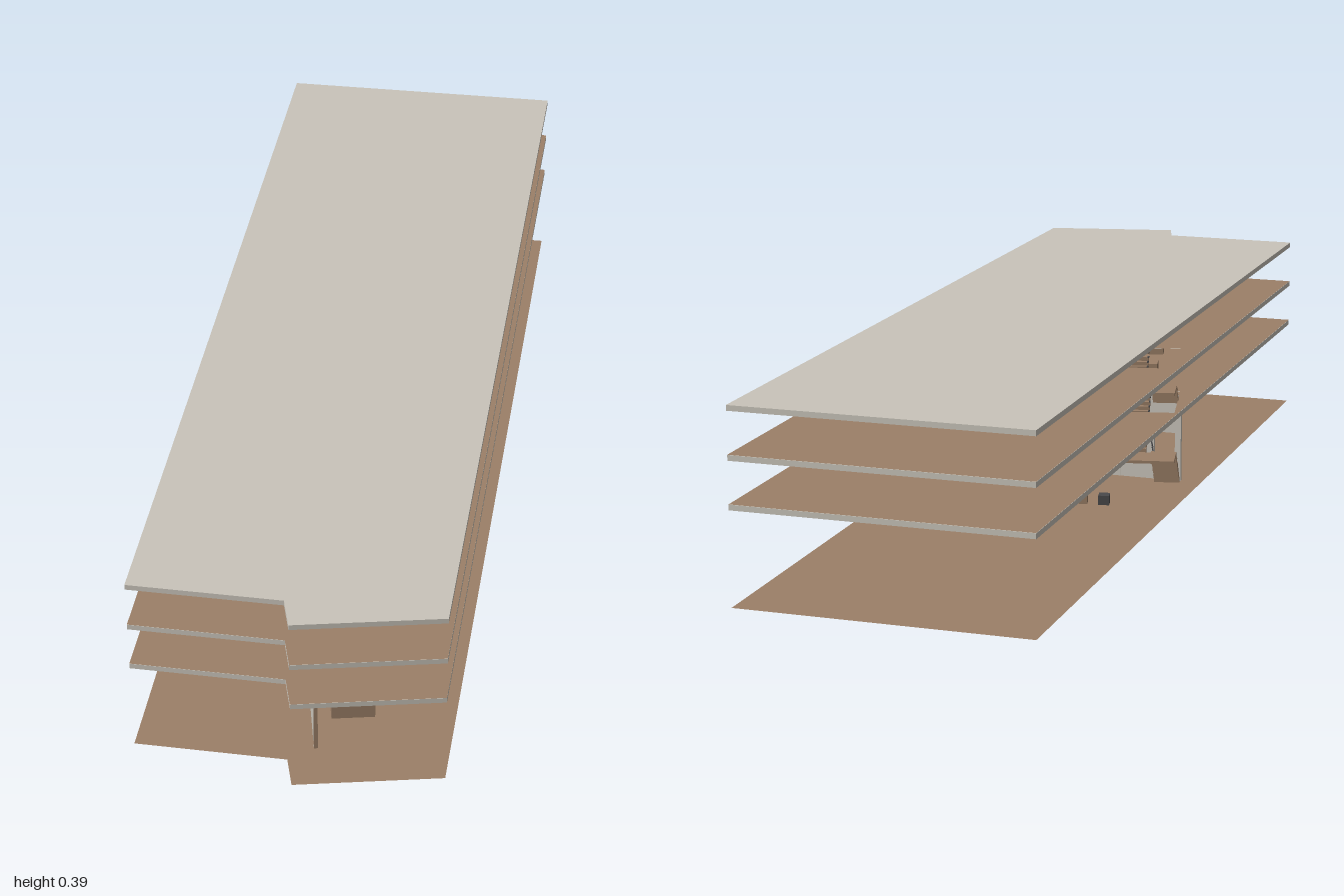
import * as THREE from 'three';

export function createModel() {
  const model = new THREE.Group();
  model.name = 'officeBuilding';
  const mat = (name, color, side = THREE.FrontSide) => {
    const m = new THREE.MeshStandardMaterial({ color, side });
    m.name = name;
    return m;
  };
  const concrete = mat('concrete', 0xc9c4ba);
  const wood = mat('wood', 0x9c8068, THREE.DoubleSide);
  const dark = mat('charcoal', 0x4a4a4c);

  const add = (name, geo, material, parent = model) => {
    const mesh = new THREE.Mesh(geo, material);
    mesh.name = name;
    parent.add(mesh);
    return mesh;
  };
  // box given by its limits on each axis
  const box = (name, material, [x0, x1], [y0, y1], [z0, z1], parent) => {
    const mesh = add(name, new THREE.BoxGeometry(x1 - x0, y1 - y0, z1 - z0), material, parent);
    mesh.position.set((x0 + x1) / 2, (y0 + y1) / 2, (z0 + z1) / 2);
    return mesh;
  };
  // horizontal shape from (x, z) points
  const path = (pts, Type = THREE.Shape) => new Type(pts.map(([x, z]) => new THREE.Vector2(x, -z)));
  const rect = (x0, x1, y0, y1) => [[x0, -y0], [x1, -y0], [x1, -y1], [x0, -y1]];

  const outline = [[-0.095, -1], [0.492, -0.877], [0.09, 1], [-0.2, 1], [-0.205, 0.93], [-0.495, 0.866]];
  const well = [[-0.282, -0.09], [-0.165, -0.09], [-0.165, 0.1], [-0.282, 0.1]];

  // ground and storey slabs with a wooden floor finish
  const plate = (hole) => {
    const s = path(outline);
    if (hole) s.holes.push(path(well, THREE.Path));
    return s;
  };
  const flat = (shape) => new THREE.ShapeGeometry(shape).rotateX(-Math.PI / 2);
  add('groundFloor', flat(plate(false)), wood).position.y = 0.0006;
  const slab = (name, y, h, hole) => {
    const geo = new THREE.ExtrudeGeometry(plate(hole), { depth: h, bevelEnabled: false });
    add(name, geo.rotateX(-Math.PI / 2), concrete).position.y = y;
    if (hole) add(name + 'Finish', flat(plate(true)), wood).position.y = y + h + 0.0006;
  };
  slab('firstFloor', 0.19, 0.011, true);
  slab('secondFloor', 0.285, 0.011, true);
  slab('roof', 0.38, 0.011, false);

  // cross wall with two doorways
  const wallAngle = Math.atan2(0.085, 0.375);
  const k = 1 / Math.cos(wallAngle);
  const wallShape = path(rect(0, 0.374 * k, 0, 0.19));
  for (const x of [0.013, 0.178]) {
    wallShape.holes.push(path(rect(x * k, (x + 0.046) * k, 0.002, 0.107), THREE.Path));
  }
  const crossWall = new THREE.Group();
  crossWall.name = 'crossWall';
  crossWall.position.set(-0.284, 0, 0.105);
  crossWall.rotation.y = -wallAngle;
  model.add(crossWall);
  add('crossWallPanel', new THREE.ExtrudeGeometry(wallShape, { depth: 0.008, bevelEnabled: false }), concrete, crossWall);
  box('crossWallEnd', wood, [0.374 * k, 0.374 * k + 0.002], [0, 0.19], [0, 0.008], crossWall);

  // long partition running to the front
  const partition = box('partition', concrete, [-0.156, -0.148], [0, 0.19], [0.135, 0.9]);
  partition.rotation.y = 0.008;
  box('partitionEnd', wood, [-0.153, -0.145], [0, 0.19], [0.899, 0.902]);

  // reception desk, counters and stools on the ground floor
  box('receptionDesk', wood, [-0.115, -0.03], [0, 0.046], [0.79, 0.82]);
  for (const z of [0.567, 0.406, 0.246]) {
    box('counter', concrete, [-0.081, -0.054], [0, 0.072], [z, z + 0.081]);
  }
  box('woodStool', wood, [-0.1, -0.078], [0, 0.021], [-0.1, -0.075]);
  box('darkStool', dark, [-0.147, -0.124], [0, 0.021], [-0.105, -0.08]);

  // switchback stair: steps run back to a landing, then return
  const run = 0.0104, turn = -0.035;
  const stair = (y0, rise, n) => {
    const g = new THREE.Group();
    g.name = 'staircase';
    model.add(g);
    const r = rise / 2 / n;
    for (let flight = 0; flight < 2; flight++) {
      const xs = flight ? [-0.219, -0.165] : [-0.283, -0.229];
      const railX = flight ? [-0.222, -0.219] : [-0.231, -0.228];
      for (let i = 0; i < n; i++) {
        const z = turn + (flight ? i : n - 1 - i) * run;
        const y = y0 + flight * rise / 2 + (i + 1) * r;
        box('step', wood, xs, [Math.max(y - 1.5 * r, 0), y], [z, z + run], g);
        box('handrail', dark, railX, [y + 0.029, y + 0.032], [z, z + run * 0.8], g);
      }
    }
    const y = y0 + rise / 2;
    box('landing', wood, [-0.283, -0.165], [y - 0.006, y], [-0.105, turn], g);
  };
  stair(0, 0.2, 13);
  stair(0.2, 0.095, 6);

  // balustrades and furniture on both upper floors
  const darkSeats = [[-0.019, 0.85], [-0.019, 0.49], [0.077, 0.41], [0.077, 0.36], [-0.019, 0.257]];
  const desks = [[0.785, 0.805], [0.663, 0.7], [0.455, 0.48], [0.265, 0.31]];
  for (const y of [0.2, 0.295]) {
    box('balustrade', dark, [-0.165, -0.162], [y, y + 0.05], [-0.105, 0.1]);
    for (const [x, z] of darkSeats) {
      box('seat', dark, [x - 0.011, x + 0.011], [y, y + 0.023], [z - 0.01, z + 0.01]);
    }
    for (const z of desks) box('desk', wood, [-0.22, -0.147], [y, y + 0.023], z);
  }
  return model;
}
